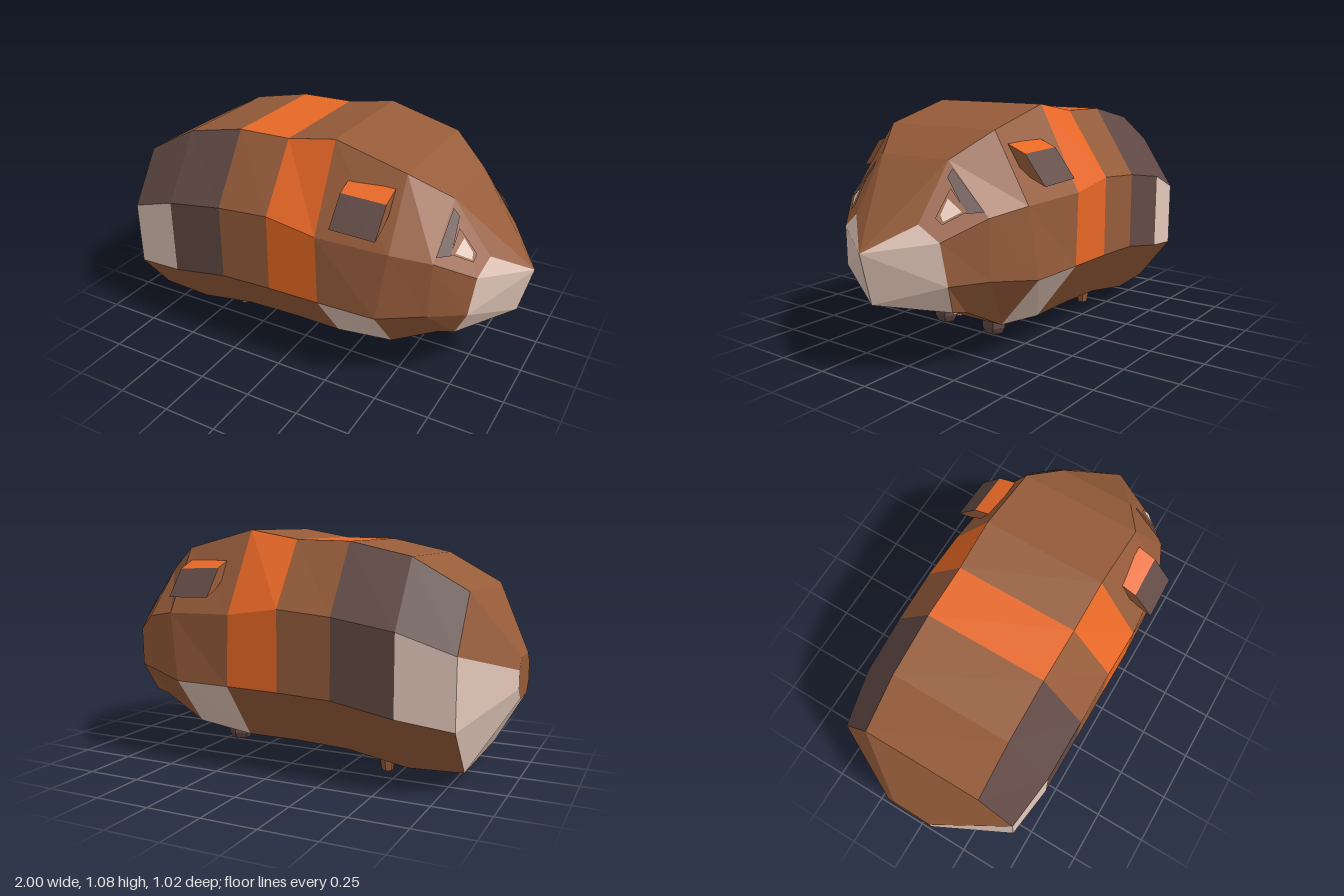
import * as THREE from 'three';

const mat = (name, color) => {
  const m = new THREE.MeshStandardMaterial({ color, flatShading: true, side: THREE.DoubleSide });
  m.name = name;
  return m;
};

// Half cross-sections from tail to muzzle: top, upper side, lower side and belly corners as [x, y, z]
const SECTIONS = [
  [[-1, 0.55, 0.07], [-1, 0.5, 0.11], [-1, 0.42, 0.11], [-1, 0.37, 0.07]],
  [[-0.825, 0.835, 0.28], [-0.825, 0.595, 0.44], [-0.825, 0.29, 0.44], [-0.825, 0.08, 0.28]],
  [[-0.58, 0.97, 0.28], [-0.58, 0.68, 0.475], [-0.58, 0.325, 0.475], [-0.58, 0.068, 0.28]],
  [[-0.3, 1.03, 0.28], [-0.3, 0.725, 0.478], [-0.3, 0.375, 0.478], [-0.3, 0.115, 0.28]],
  [[-0.05, 1.035, 0.28], [-0.05, 0.745, 0.478], [-0.05, 0.385, 0.478], [-0.05, 0.125, 0.28]],
  [[0.18, 1.075, 0.28], [0.19, 0.71, 0.48], [0.2, 0.39, 0.48], [0.2, 0.125, 0.28]],
  [[0.51, 0.99, 0.28], [0.515, 0.7, 0.45], [0.47, 0.39, 0.47], [0.47, 0.16, 0.28]],
  [[0.68, 0.88, 0.18], [0.68, 0.67, 0.38], [0.67, 0.415, 0.38], [0.68, 0.27, 0.26]],
  [[0.85, 0.65, 0.17], [0.83, 0.585, 0.26], [0.81, 0.41, 0.28], [0.75, 0.285, 0.25]],
];
const NOSE = [1, 0.54, 0], CHIN = [0.945, 0.32, 0];

// Fur colour per band (b brown, o orange, s slate, w white), one letter per gap between sections
const BANDS = {
  upper: 'bssbobbb',
  middle: 'wwsbobbb',
  lower: 'wbbbbwbb',
  belly: 'wbbbssb',
  back: 'bbbobbb',
};
const RING = ['upper', 'middle', 'lower', 'belly', 'lower', 'middle', 'upper', 'back'];

export function createModel() {
  const model = new THREE.Group();
  model.name = 'guineaPig';
  const brown = mat('brown fur', 0x965c3a);
  const orange = mat('orange fur', 0xe86826);
  const slate = mat('slate fur', 0x624a45);
  const white = mat('cream fur', 0xe4c8ba);

  const add = (name, geo, material, parent = model) => {
    const m = new THREE.Mesh(geo, material);
    m.name = name;
    parent.add(m);
    return m;
  };
  // Flat faces from convex polygons
  const faces = (polys) => {
    const pos = [];
    for (const p of polys)
      for (let k = 1; k < p.length - 1; k++) pos.push(...p[0], ...p[k], ...p[k + 1]);
    const g = new THREE.BufferGeometry();
    g.setAttribute('position', new THREE.Float32BufferAttribute(pos, 3));
    g.computeVertexNormals();
    return g;
  };
  const flip = ([x, y, z]) => [x, y, -z];

  // Body: octagonal loft, sorted by fur colour
  const rings = SECTIONS.map((s) => [...s, ...[...s].reverse().map(flip)]);
  const fur = { b: [], o: [], s: [], w: [] };
  for (let i = 0; i < rings.length - 1; i++) {
    for (let j = 0; j < 8; j++) {
      const color = BANDS[RING[j]][i];
      if (!color) continue;
      const k = (j + 1) % 8;
      fur[color].push([rings[i][j], rings[i][k], rings[i + 1][k], rings[i + 1][j]]);
    }
  }
  fur.b.push([...rings[0]].reverse()); // tail end

  // Forehead, throat and muzzle close the front
  const a = rings[7], p = rings[8];
  fur.b.push([a[0], p[0], NOSE], [a[0], NOSE, a[7]], [a[7], NOSE, p[7]]);
  fur.b.push([a[3], CHIN, p[3]], [a[3], a[4], CHIN], [a[4], p[4], CHIN]);
  fur.w.push([NOSE, p[0], p[1]], [NOSE, p[1], p[2]], [NOSE, p[2], CHIN], [p[2], p[3], CHIN]);
  fur.w.push([NOSE, p[6], p[7]], [NOSE, p[5], p[6]], [NOSE, CHIN, p[5]], [p[5], CHIN, p[4]]);

  const body = new THREE.Group();
  body.name = 'body';
  model.add(body);
  add('brownCoat', faces(fur.b), brown, body);
  add('orangeStripe', faces(fur.o), orange, body);
  add('slatePatches', faces(fur.s), slate, body);
  add('creamPatchesAndMuzzle', faces(fur.w), white, body);

  // Cream chest patch between the front feet
  const chest = [[0.21, -0.04], [0.34, -0.1], [0.465, -0.05], [0.465, 0.05], [0.34, 0.1], [0.21, 0.04]];
  add('chestPatch', faces([chest.map(([x, z]) => [x, 0.119 + (x - 0.2) * 0.13, z])]), white);

  // Ear profile as [z, y], running from the root over the top to the tip and back under
  const EAR = [[0.33, 0.942], [0.415, 0.908], [0.512, 0.785], [0.44, 0.815], [0.39, 0.85]];
  // Eye outlines as [y, z], lying on the sloping cheek plane
  const BROW = [[0.848, 0.205], [0.815, 0.2], [0.685, 0.305], [0.69, 0.36]];
  const RIM = [[0.775, 0.225], [0.67, 0.215], [0.645, 0.245], [0.69, 0.305]];
  const EYE = [[0.737, 0.23], [0.68, 0.228], [0.655, 0.245], [0.69, 0.29]];
  const onCheek = (pts, lift) => pts.map(([y, z]) => [
    0.68 + 0.707 * (0.88 - y) - 0.742 * (z - 0.18) + 0.7 * lift, y + 0.49 * lift, z + 0.52 * lift]);

  for (const [side, s] of [['left', -1], ['right', 1]]) {
    const mirror = (poly) => (s > 0 ? poly : poly.map(flip).reverse());

    // Folded ear
    const ear = new THREE.Group();
    ear.name = side + 'Ear';
    model.add(ear);
    const rear = EAR.map(([z, y]) => [0.275, y, z]);
    const front = EAR.map(([z, y]) => [0.48, y - 0.008, z - 0.008]);
    const strip = (k) => {
      const n = (k + 1) % EAR.length;
      return mirror([rear[k], rear[n], front[n], front[k]]);
    };
    add('earTop', faces([strip(0)]), orange, ear);
    add('earFlap', faces([strip(1)]), slate, ear);
    // Ends are split because the profile is concave
    const ends = [[0, 1, 4], [1, 3, 4], [1, 2, 3]].flatMap((t) => [
      mirror(t.map((k) => rear[k])), mirror([...t].reverse().map((k) => front[k]))]);
    add('earInside', faces([strip(2), strip(3), strip(4), ...ends]), brown, ear);

    // Eye: brow patch, rim and eyeball plates
    add(side + 'Brow', faces([mirror(onCheek(BROW, 0.006))]), slate);
    add(side + 'EyeRim', faces([mirror(onCheek(RIM, 0.009))]), brown);
    add(side + 'Eye', faces([mirror(onCheek(EYE, 0.013))]), white);

    // Stubby feet
    const hind = add(side + 'HindFoot', new THREE.CylinderGeometry(0.045, 0.025, 0.1, 6), brown);
    hind.position.set(-0.435, 0.05, s * 0.14);
    const fore = add(side + 'ForeFoot', new THREE.CylinderGeometry(0.058, 0.058, 0.07, 6), slate);
    fore.position.set(0.335, 0.125, s * 0.14);
    const toe = add(side + 'ForeToe', new THREE.CylinderGeometry(0.058, 0.042, 0.03, 6), slate);
    toe.position.set(0.335, 0.075, s * 0.14);
  }
  return model;
}
